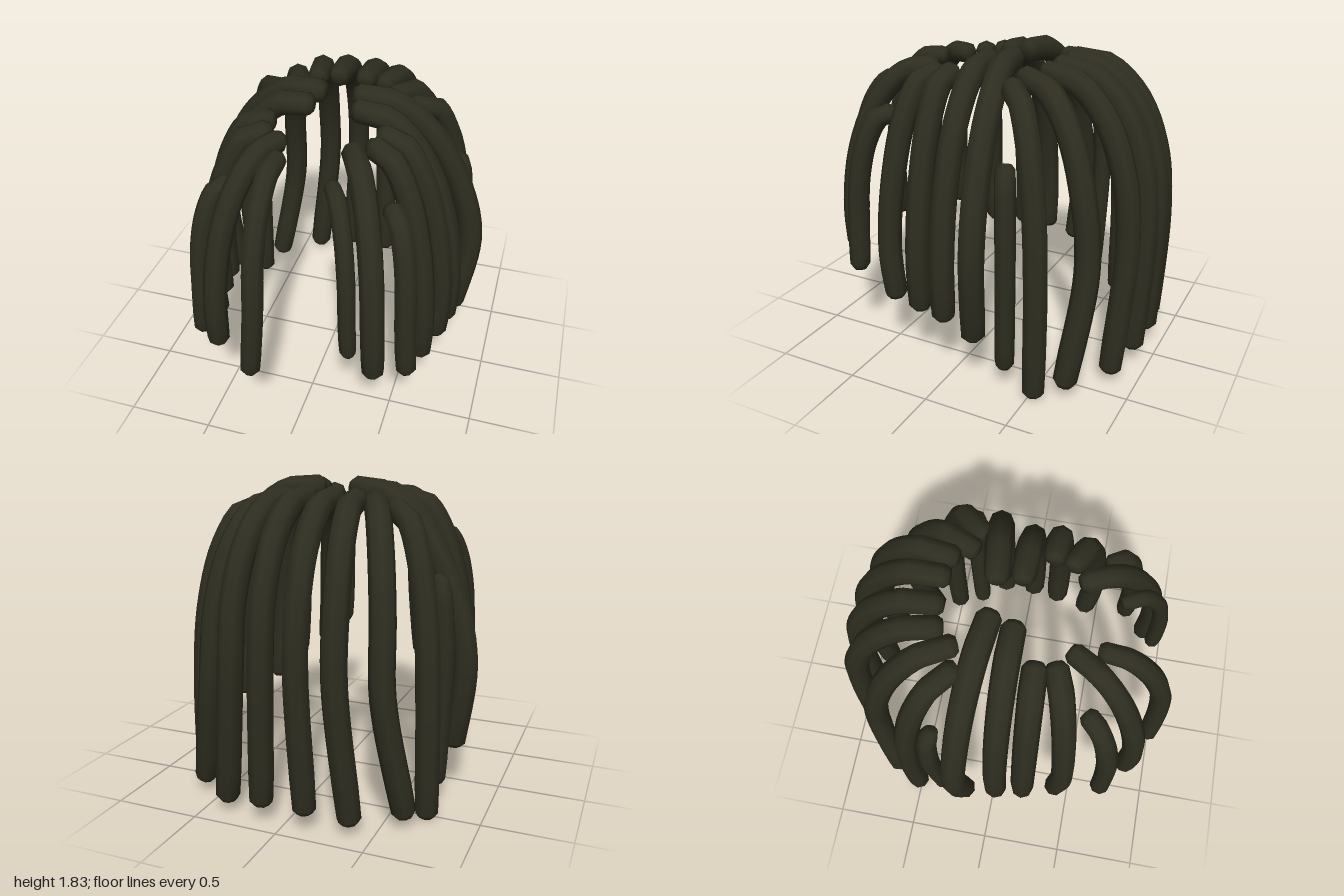
import * as THREE from 'three';
import { mergeVertices } from 'three/addons/utils/BufferGeometryUtils.js';

const SIDES = 8, SEGS = 28, LIFT = 0.06;

// Centre line: a quarter ellipse from root out to the widest point, then down to the tip.
// LIFT rounds the shoulder upwards, sag pulls the arc inwards.
function lockCurve(root, wide, tip, sag) {
  const points = [];
  for (let i = 0; i <= 4; i++) {
    const t = (i * Math.PI) / 8;
    const p = root.clone().lerp(wide, Math.sin(t) - sag * Math.sin(2 * t));
    p.y = THREE.MathUtils.lerp(wide.y, root.y, Math.cos(t) + LIFT * Math.sin(2 * t));
    points.push(p);
  }
  return new THREE.CatmullRomCurve3([...points, tip]);
}

// Strand with rounded ends swept along a curve
function strandGeometry(curve, radius) {
  const geo = new THREE.TubeGeometry(curve, SEGS, radius, SIDES);
  const length = curve.getLength();
  const pos = geo.attributes.position;
  const v = new THREE.Vector3();
  for (let i = 0; i <= SEGS; i++) {
    const end = Math.min(i, SEGS - i);
    // the last rings at each end close into a rounded cap
    if (end > 2) continue;
    const old = curve.getPointAt(i / SEGS);
    const inset = [0, 0.004, 0.035][end] / length;
    const scale = [0, 0.62, 0.95][end];
    const centre = curve.getPointAt(i < SEGS / 2 ? inset : 1 - inset);
    for (let j = 0; j <= SIDES; j++) {
      const k = i * (SIDES + 1) + j;
      v.fromBufferAttribute(pos, k).sub(old).multiplyScalar(scale).add(centre);
      pos.setXYZ(k, v.x, v.y, v.z);
    }
  }
  geo.deleteAttribute('uv');
  geo.deleteAttribute('normal');
  const merged = mergeVertices(geo, 1e-5);
  merged.computeVertexNormals();
  return merged;
}

export function createModel() {
  const group = new THREE.Group();
  group.name = 'hair';
  const hair = new THREE.MeshStandardMaterial({ color: 0x2e2d20 });
  hair.name = 'dark olive hair';

  const lock = (name, root, wide, tip, radius = 0.072, sag = 0, side = 1) => {
    const [a, b, c] = [root, wide, tip].map(([x, y, z]) => new THREE.Vector3(side * x, y, z));
    const mesh = new THREE.Mesh(strandGeometry(lockCurve(a, b, c, sag), radius), hair);
    mesh.name = name;
    group.add(mesh);
  };
  const pair = (name, root, wide, tip, radius, sag) => {
    lock(`left${name}`, root, wide, tip, radius, sag, 1);
    lock(`right${name}`, root, wide, tip, radius, sag, -1);
  };

  // Long locks across the back
  pair('BackInnerLock', [0.08, 1.73, -0.34], [0.1, 0.9, -0.925], [0.13, 0.1, -0.9]);
  pair('BackMiddleLock', [0.2, 1.72, -0.32], [0.3, 0.85, -0.89], [0.37, 0.06, -0.85]);
  pair('BackOuterLock', [0.27, 1.7, -0.23], [0.51, 0.75, -0.74], [0.62, 0.06, -0.67], 0.072, 0.02);
  pair('BackCornerLock', [0.38, 1.67, -0.21], [0.69, 0.65, -0.52], [0.7, 0, -0.52], 0.07, 0.02);

  // Sides, from the crown forward
  pair('ShortSideLock', [0.65, 1.33, -0.32], [0.73, 0.8, -0.36], [0.7, 0.13, -0.34], 0.058);
  pair('CrownLock', [0.08, 1.76, -0.09], [0.81, 0.85, -0.2], [0.75, 0.3, -0.17], 0.075, 0.09);
  pair('SideBackLock', [0.11, 1.74, 0.04], [0.735, 0.7, 0.03], [0.73, 0.36, 0.03], 0.072, 0.05);
  pair('SideMiddleLock', [0.29, 1.69, 0.18], [0.71, 0.7, 0.2], [0.7, 0.37, 0.2], 0.072, 0.07);
  pair('SideFrontLock', [0.27, 1.68, 0.28], [0.65, 0.7, 0.43], [0.65, 0.37, 0.4], 0.07, 0.06);

  // Front locks
  pair('ShortFrontLock', [0.44, 1.45, 0.48], [0.6, 0.8, 0.68], [0.62, 0.48, 0.68], 0.063, 0.02);
  pair('FrontLock', [0.19, 1.68, 0.34], [0.45, 0.85, 0.82], [0.46, 0.54, 0.81], 0.067, 0.05);

  // Unequal forelocks beside the parting
  lock('leftForelock', [0.15, 1.6, 0.58], [0.32, 0.9, 0.86], [0.33, 0.7, 0.86], 0.049);
  lock('rightForelock', [-0.16, 1.66, 0.49], [-0.18, 0.95, 0.93], [-0.22, 0.49, 0.94], 0.062, 0.04);
  return group;
}
